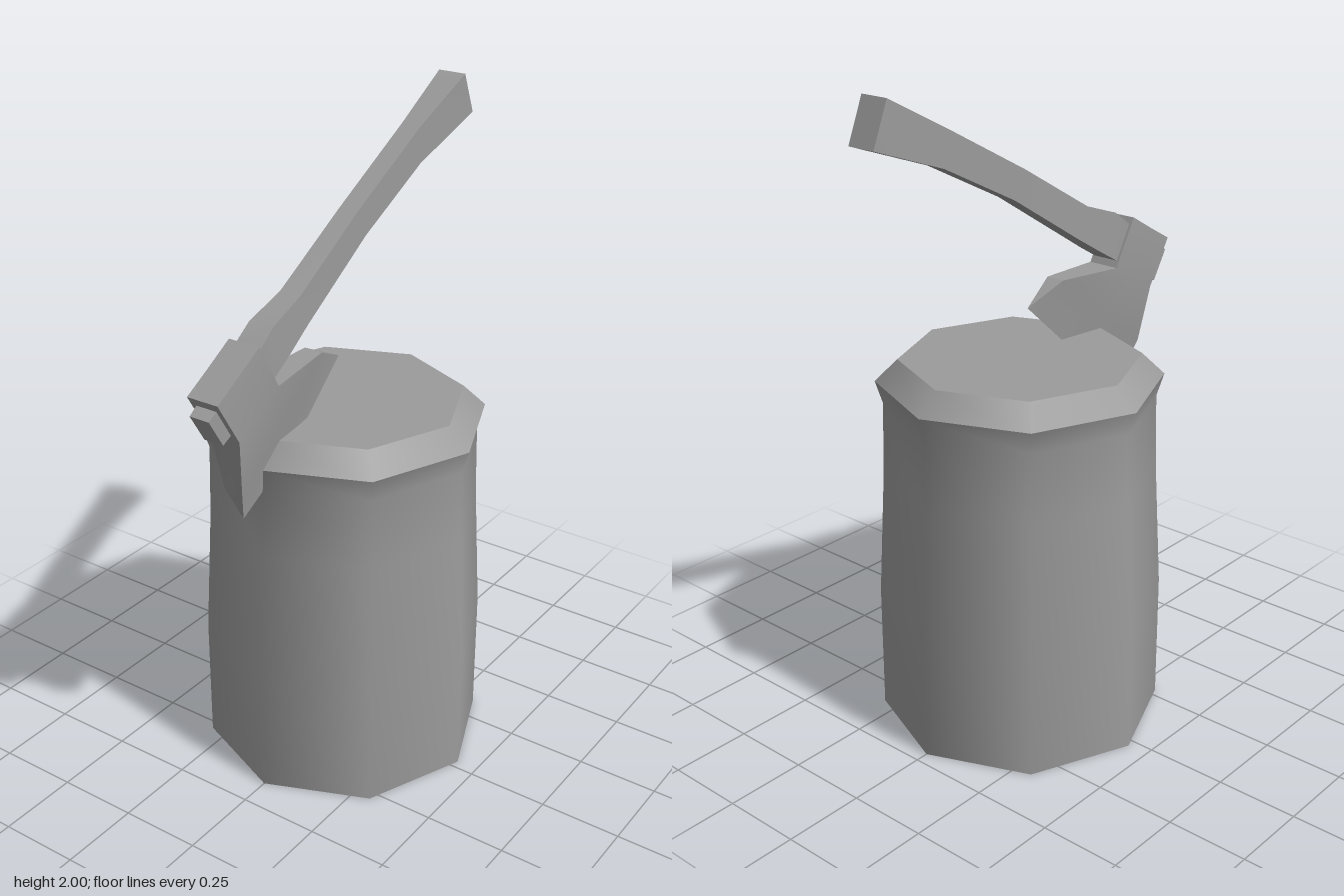
import * as THREE from 'three';
import { toCreasedNormals } from 'three/addons/utils/BufferGeometryUtils.js';

const material = new THREE.MeshStandardMaterial({ color: 0x9b9b9b });
const openMaterial = new THREE.MeshStandardMaterial({ color: 0x9b9b9b, side: THREE.DoubleSide });

function addMesh(group, name, geometry, meshMaterial) {
  const mesh = new THREE.Mesh(geometry, meshMaterial);
  mesh.name = name;
  group.add(mesh);
}

// Skins a row of closed sections, each a list of [x, y, z] running the same way round.
function loft(sections) {
  const n = sections[0].length;
  const index = [];
  for (let s = 0; s < sections.length - 1; s++) {
    for (let i = 0; i < n; i++) {
      const a = s * n + i, b = s * n + (i + 1) % n;
      index.push(a, a + n, b, b, a + n, b + n);
    }
  }
  const last = (sections.length - 1) * n;
  for (let i = 1; i < n - 1; i++) {
    index.push(0, i, i + 1);
    index.push(last, last + i + 1, last + i);
  }
  const geometry = new THREE.BufferGeometry();
  geometry.setAttribute('position', new THREE.Float32BufferAttribute(sections.flat(2), 3));
  geometry.setIndex(index);
  return toCreasedNormals(geometry, 0.5);
}

// Section through a line of points on the +z side, returning along the -z side.
const section = (points, z) => [
  ...points.map(([x, y]) => [x, y, z]),
  ...points.slice().reverse().map(([x, y]) => [x, y, -z]),
];

export function createModel() {
  const model = new THREE.Group();
  model.name = 'axeInStump';

  // Eight-sided stump, open underneath: smooth walls, sharp edges at the bevel
  const stump = new THREE.Group();
  stump.name = 'stump';
  stump.position.x = 0.0275;
  model.add(stump);
  const turned = (name, profile) => addMesh(stump, name,
    new THREE.LatheGeometry(profile.map(([r, y]) => new THREE.Vector2(r, y)), 8), openMaterial);
  turned('stumpBark', [[0.433, 0], [0.433, 0.4], [0.411, 0.8], [0.406, 1.02], [0.428, 1.09]]);
  turned('stumpBevel', [[0.428, 1.09], [0.36, 1.156]]);
  turned('stumpTop', [[0.36, 1.156], [0, 1.156]]);

  const axe = new THREE.Group();
  axe.name = 'axe';
  model.add(axe);

  // Axe head: block around the handle, flared cheeks, curved cutting edge
  addMesh(axe, 'axeHead', loft([
    section([[-0.62, 1.385], [-0.53, 1.435], [-0.44, 1.487]], 0.051),
    section([[-0.535, 1.245], [-0.445, 1.295], [-0.36, 1.345]], 0.051),
    section([[-0.505, 1.07], [-0.33, 1.195], [-0.13, 1.356]], 0.03),
    section([[-0.465, 0.965], [-0.25, 1.078], [-0.005, 1.295]], 0),
  ]), material);

  // Handle: [upper x, y, lower x, y, half thickness] from the stub to the grip end
  const stations = [
    [-0.635, 1.34, -0.58, 1.25, 0.032],
    [-0.43, 1.467, -0.37, 1.365, 0.042],
    [-0.365, 1.515, -0.3, 1.405, 0.04],
    [-0.235, 1.56, -0.2, 1.465, 0.034],
    [0.04, 1.72, 0.085, 1.64, 0.031],
    [0.36, 1.89, 0.365, 1.78, 0.032],
    [0.58, 2.0, 0.632, 1.875, 0.045],
  ];
  addMesh(axe, 'axeHandle', loft(stations.map(([ux, uy, lx, ly, z]) =>
    section([[lx, ly], [ux, uy]], z))), material);

  return model;
}
